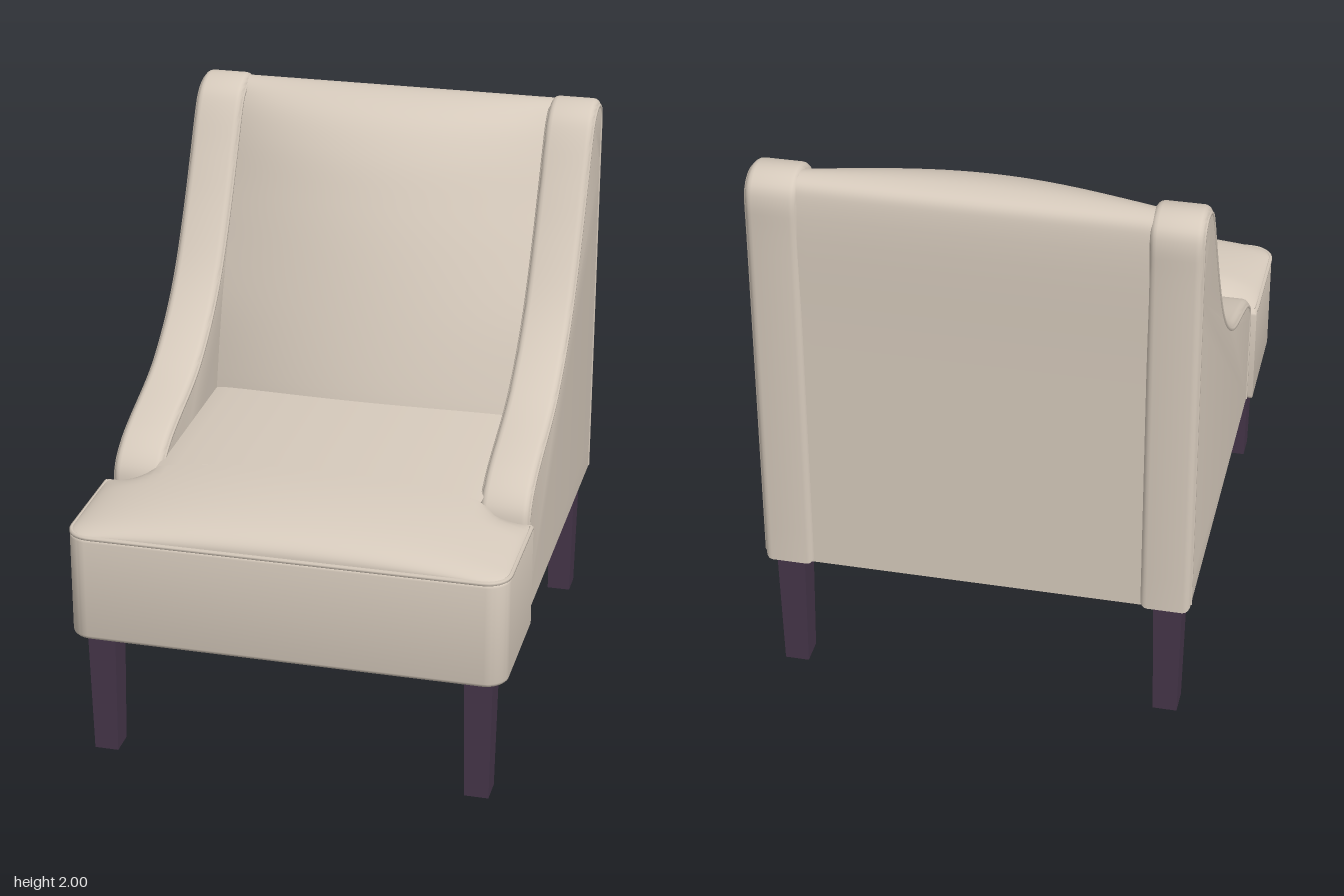
import * as THREE from 'three';
import { toCreasedNormals } from 'three/addons/utils/BufferGeometryUtils.js';

const fabric = new THREE.MeshStandardMaterial({ color: 0xd6cabc, side: THREE.DoubleSide });
fabric.name = 'beige fabric';
const wood = new THREE.MeshStandardMaterial({ color: 0x46364a });
wood.name = 'dark wood';

const V2 = (x, y) => new THREE.Vector2(x, y);
const V3 = (x, y, z) => new THREE.Vector3(x, y, z);

function add(parent, name, geometry, material = fabric) {
  const mesh = new THREE.Mesh(geometry, material);
  mesh.name = name;
  parent.add(mesh);
  return mesh;
}

// Smooth grid surface; fn(u, v) gives a point, and the outside faces du x dv
function surface(fn, nu, nv) {
  const pos = [], idx = [];
  for (let j = 0; j <= nv; j++)
    for (let i = 0; i <= nu; i++) pos.push(...fn(i / nu, j / nv).toArray());
  for (let j = 0; j < nv; j++)
    for (let i = 0; i < nu; i++) {
      const a = j * (nu + 1) + i, c = a + nu + 1;
      idx.push(a, a + 1, c, a + 1, c + 1, c);
    }
  const g = new THREE.BufferGeometry();
  g.setAttribute('position', new THREE.Float32BufferAttribute(pos, 3));
  g.setIndex(idx);
  g.computeVertexNormals();
  return g;
}

const piping = (points, r = 0.008) =>
  new THREE.TubeGeometry(new THREE.CatmullRomCurve3(points), 140, r, 6);

// Arm side outline as (z, y), from front bottom over the top to back bottom
const armOutline = new THREE.SplineCurve([
  [0.4, 0.495], [0.4, 0.68], [0.4, 0.84], [0.375, 0.91], [0.3, 0.965], [0.2, 1.005],
  [0, 1.07], [-0.12, 1.13], [-0.26, 1.235], [-0.38, 1.365], [-0.5, 1.55], [-0.6, 1.735],
  [-0.68, 1.89], [-0.73, 1.95], [-0.8, 1.975], [-0.855, 1.96], [-0.88, 1.91],
  [-0.88, 1.75], [-0.88, 1.2], [-0.88, 0.495],
].map(p => V2(...p))).getPoints(90);

function makeArm(side) {
  const arm = new THREE.Group();
  arm.name = side > 0 ? 'leftArm' : 'rightArm';
  const body = new THREE.ExtrudeGeometry(new THREE.Shape(armOutline), {
    depth: 0.125, bevelEnabled: true, bevelThickness: 0.025, bevelSize: 0.025, bevelSegments: 4,
  });
  body.translate(0, 0, -0.0625).rotateY(-Math.PI / 2);
  add(arm, 'armPanel', toCreasedNormals(body, 0.6));
  for (const s of [-1, 1])
    add(arm, 'armPiping', piping(armOutline.map(p => V3(s * 0.083, p.y, p.x)), 0.009));
  arm.position.x = side * 0.6625;
  return arm;
}

// Plan of the front cushion as (x, z), with rounded front corners
function cushionPlan(half, front, back, r) {
  const path = new THREE.Path();
  path.moveTo(-half, back);
  path.lineTo(-half, front - r);
  path.absarc(r - half, front - r, r, Math.PI, Math.PI / 2, true);
  path.lineTo(half - r, front);
  path.absarc(half - r, front - r, r, Math.PI / 2, 0, true);
  path.lineTo(half, back);
  return path;
}

// Height of the padded seat top
const HALF = 0.765, FRONT = 0.895, BACK = 0.43, R = 0.08;
function seatHeight(u, x, z) {
  const t = Math.min(1, (FRONT - z) / 0.45);
  const rise = Math.pow(Math.max(0, 1 - u * u), 0.6) * Math.pow(Math.max(0, 1 - (1 - t) ** 2), 0.4);
  const outer = THREE.MathUtils.smoothstep(Math.abs(x), 0.57, 0.68);
  const drop = Math.sqrt(THREE.MathUtils.clamp((z - BACK) / 0.12, 0, 1));
  return 0.862 + 0.12 * rise * (1 - outer * (1 - drop));
}

function makeSeat() {
  const seat = new THREE.Group();
  seat.name = 'seat';

  const block = new THREE.ExtrudeGeometry(
    new THREE.Shape(cushionPlan(0.755, 0.885, 0.445, 0.065).getPoints(8)),
    { depth: 0.36, bevelEnabled: true, bevelThickness: 0.015, bevelSize: 0.015, bevelSegments: 3 });
  block.rotateX(Math.PI / 2).translate(0, 0.845, 0);
  add(seat, 'frontBlock', toCreasedNormals(block, 0.6));

  add(seat, 'frontCushionTop', surface((a, v) => {
    const u = Math.sin((a - 0.5) * Math.PI);
    const z = FRONT - (FRONT - BACK) * v * v;
    const k = Math.max(0, z - (FRONT - R));
    const x = u * (HALF - R + Math.sqrt(Math.max(0, R * R - k * k)));
    return V3(x, seatHeight(u, x, z), z);
  }, 48, 24));

  add(seat, 'innerCushionTop', surface((a, v) => {
    const x = (a - 0.5) * 1.17, z = BACK - v * 0.95;
    return V3(x, seatHeight(x / HALF, x, z), z);
  }, 32, 8));

  const edge = cushionPlan(0.765, 0.894, 0.445, R).getSpacedPoints(90);
  add(seat, 'cushionPiping', piping(edge.map(p => V3(p.x, 0.86, p.y)), 0.009));

  const frame = add(seat, 'underFrame', new THREE.BoxGeometry(1.3, 0.37, 1.33));
  frame.position.set(0, 0.657, -0.215);
  return seat;
}

// Padded back: centre and edge profiles as (y, z), from seat over the top to the bottom rear
const rear = [[1.97, -0.868], [1.9, -0.888], [1.4, -0.89], [0.9, -0.89], [0.472, -0.89]];
const profile = pts => new THREE.CatmullRomCurve3(pts.concat(rear).map(([y, z]) => V3(0, y, z)));
const centreProfile = profile([[0.9, -0.165], [1, -0.185], [1.25, -0.26], [1.5, -0.35],
  [1.66, -0.42], [1.82, -0.505], [1.93, -0.6], [1.985, -0.71], [1.995, -0.8]]);
const edgeProfile = profile([[0.9, -0.29], [1, -0.315], [1.25, -0.39], [1.5, -0.5],
  [1.66, -0.58], [1.82, -0.66], [1.92, -0.72], [1.975, -0.77], [1.99, -0.82]]);

function makeBack() {
  return surface((a, v) => {
    const s = a * 2 - 1;
    const p = centreProfile.getPoint(v).lerp(edgeProfile.getPoint(v), s * s);
    p.x = s * 0.585;
    return p;
  }, 32, 72);
}

// Square tapered leg
function makeLeg() {
  const g = new THREE.CylinderGeometry(0.05 * Math.SQRT2, 0.0425 * Math.SQRT2, 0.475, 4);
  g.rotateY(Math.PI / 4).scale(1, 1, 1.12);
  return toCreasedNormals(g, 0.3);
}

export function createModel() {
  const chair = new THREE.Group();
  chair.name = 'armchair';
  chair.add(makeSeat(), makeArm(1), makeArm(-1));
  add(chair, 'backrest', makeBack());
  const leg = makeLeg();
  for (const side of [1, -1])
    for (const [name, z] of [['frontLeg', 0.782], ['backLeg', -0.812]])
      add(chair, name, leg, wood).position.set(side * 0.668, 0.2375, z);
  return chair;
}
